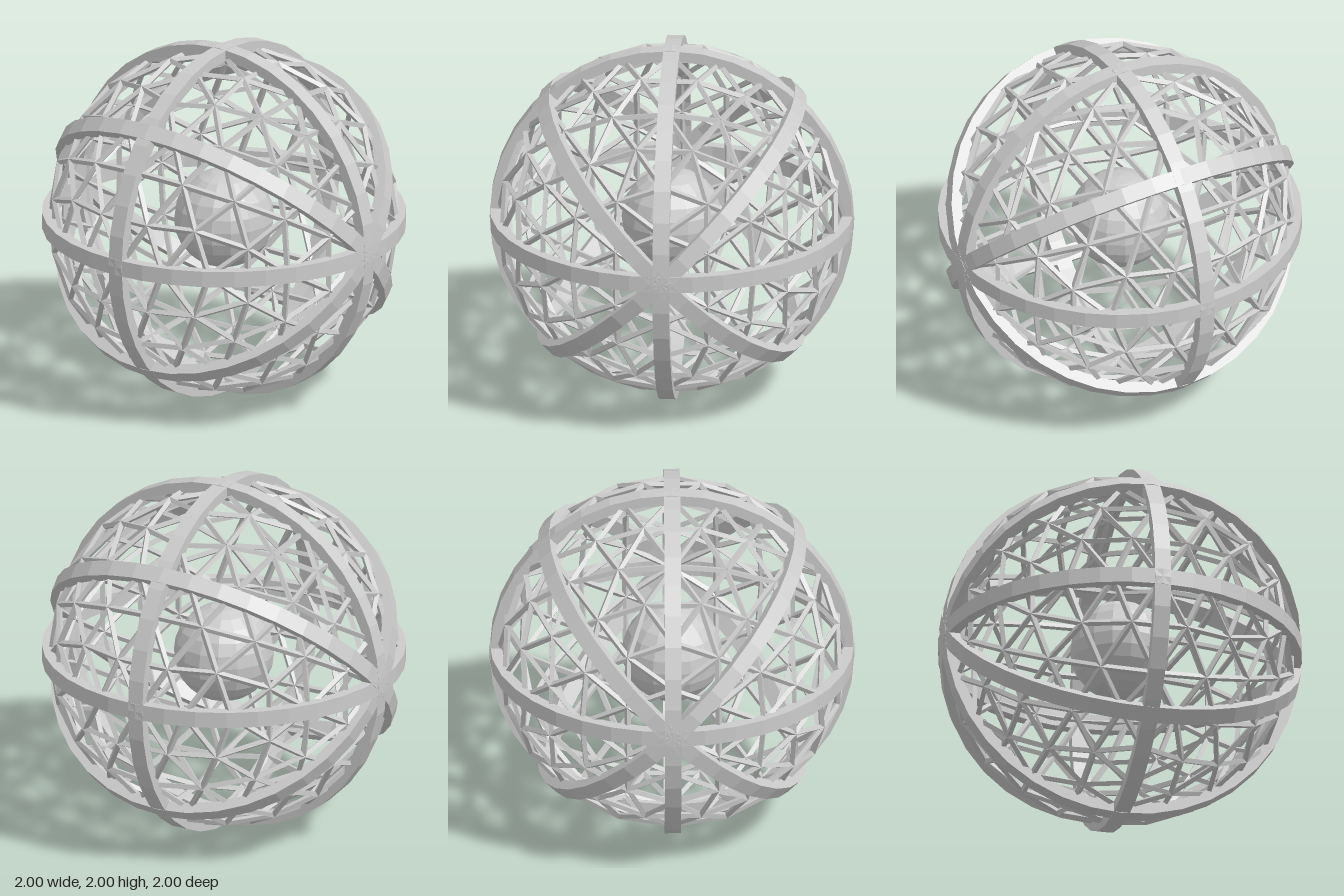
import * as THREE from 'three';
import { mergeGeometries } from 'three/addons/utils/BufferGeometryUtils.js';

const material = new THREE.MeshStandardMaterial({ color: 0xcccccc, flatShading: true });
const LATTICE_RADIUS = 0.95;
const STRUT_RADIUS = 0.018;

// Flat hoop of rectangular section around the y axis
function hoopGeometry(outer, inner, width) {
  const h = width / 2;
  const profile = [[outer, -h], [outer, h], [inner, h], [inner, -h], [outer, -h]];
  return new THREE.LatheGeometry(profile.map(([x, y]) => new THREE.Vector2(x, y)), 36);
}

// Unique edges of an icosahedron whose faces are split repeatedly and pushed out to a sphere
function geodesicEdges(radius, depth) {
  const edges = new Map();
  const midpoint = (a, b) => a.clone().add(b).normalize();
  const addEdge = (a, b) => {
    const key = a.clone().add(b).toArray().map(v => Math.round(v * 1000) + 0).join();
    edges.set(key, [a.clone().multiplyScalar(radius), b.clone().multiplyScalar(radius)]);
  };
  const split = (a, b, c, level) => {
    if (level === 0) {
      addEdge(a, b);
      addEdge(b, c);
      addEdge(c, a);
      return;
    }
    const ab = midpoint(a, b), bc = midpoint(b, c), ca = midpoint(c, a);
    split(a, ab, ca, level - 1);
    split(ab, b, bc, level - 1);
    split(ca, bc, c, level - 1);
    split(ab, bc, ca, level - 1);
  };
  const pos = new THREE.IcosahedronGeometry(1, 0).attributes.position;
  const corner = i => new THREE.Vector3().fromBufferAttribute(pos, i).normalize();
  for (let i = 0; i < pos.count; i += 3) split(corner(i), corner(i + 1), corner(i + 2), depth);
  return [...edges.values()];
}

// Four-sided bar between two points, one ridge facing outward
function strutGeometry([a, b]) {
  const along = b.clone().sub(a);
  const length = along.length();
  along.normalize();
  const centre = a.clone().add(b).multiplyScalar(0.5);
  const out = centre.clone().normalize();
  const side = new THREE.Vector3().crossVectors(along, out);
  const matrix = new THREE.Matrix4().makeBasis(side, along, out).setPosition(centre);
  return new THREE.CylinderGeometry(STRUT_RADIUS, STRUT_RADIUS, length, 4).applyMatrix4(matrix);
}

export function createModel() {
  const model = new THREE.Group();
  const ball = new THREE.Group();
  ball.position.y = 1;
  model.add(ball);

  const add = (name, geometry, parent = ball) => {
    const mesh = new THREE.Mesh(geometry, material);
    mesh.name = name;
    parent.add(mesh);
    return mesh;
  };

  // Core
  add('core', new THREE.SphereGeometry(0.277, 16, 12));

  // Geodesic lattice
  add('lattice', mergeGeometries(geodesicEdges(LATTICE_RADIUS, 2).map(strutGeometry)));

  // Hoops: four through the front and back poles, one facing the front
  const hoops = new THREE.Group();
  hoops.name = 'hoops';
  ball.add(hoops);
  const hoop = hoopGeometry(1, 0.94, 0.09);
  ['equatorHoop', 'diagonalHoopA', 'sideHoop', 'diagonalHoopB'].forEach((name, i) => {
    add(name, hoop, hoops).rotation.z = i * Math.PI / 4;
  });
  add('frontHoop', hoop, hoops).rotation.x = Math.PI / 2;

  return model;
}
